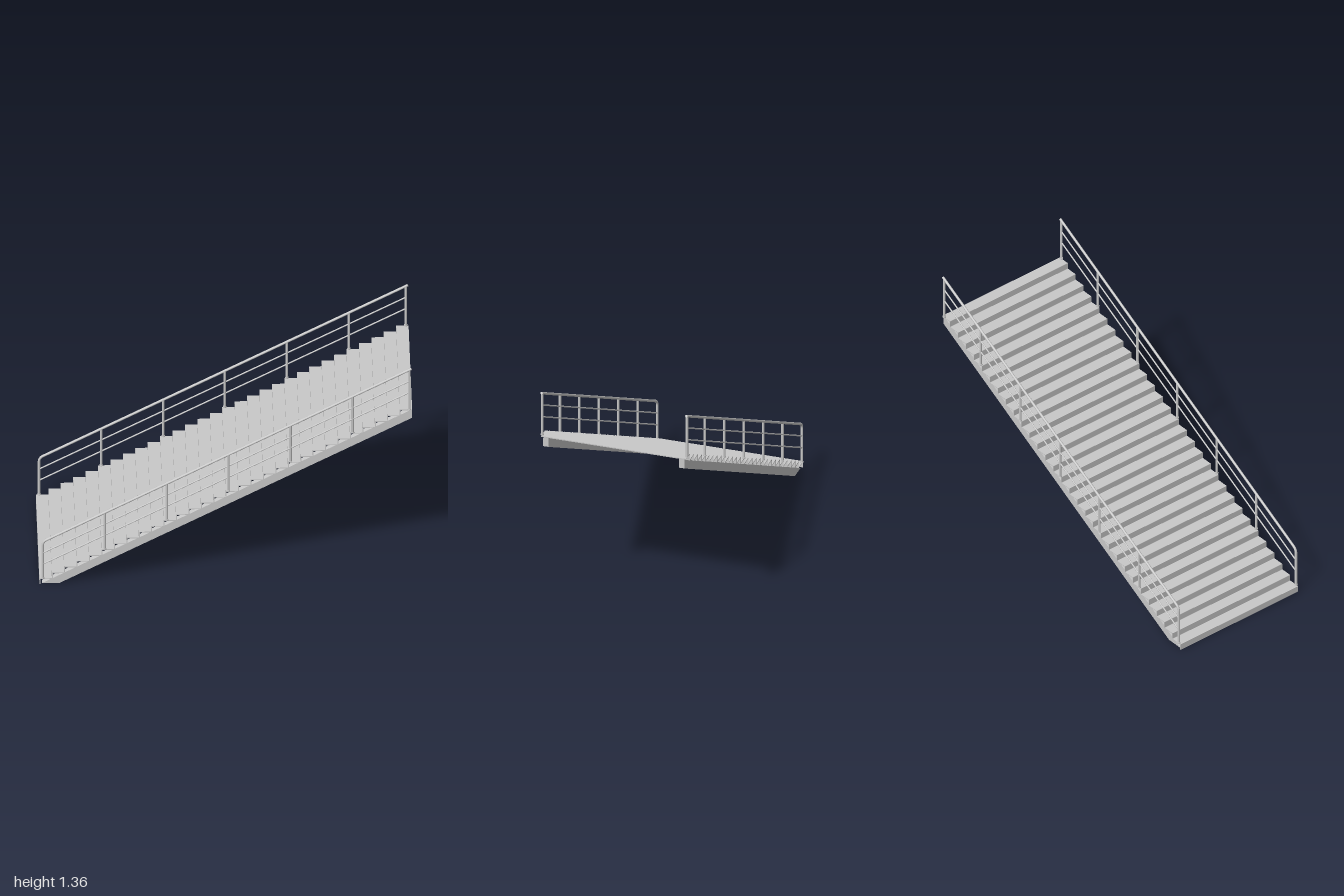
import * as THREE from 'three';

const STEPS = 30, RUN = 2 / STEPS, RISE = 1.09 / STEPS, SLOPE = RISE / RUN;
const SHEET = 0.005, HALF_WIDTH = 0.41, RAIL_Z = 0.409;

const steel = new THREE.MeshStandardMaterial({ color: 0xc9c9c9 });
steel.name = 'light grey steel';

// Height above the floor of a line parallel to the stair pitch
const pitch = (x, offset) => SLOPE * (x + 1) + offset;

function add(parent, geometry, name) {
  const mesh = new THREE.Mesh(geometry, steel);
  mesh.name = name;
  parent.add(mesh);
  return mesh;
}

// Side profile in x/y, extruded along z and centred on z
function extrudeProfile(points, depth, z) {
  const shape = new THREE.Shape(points.map(([x, y]) => new THREE.Vector2(x, y)));
  const geometry = new THREE.ExtrudeGeometry(shape, { depth, bevelEnabled: false });
  return geometry.translate(0, 0, z - depth / 2);
}

// Round bar between two points of the x/y plane
function bar(parent, a, b, radius, name) {
  const start = new THREE.Vector3(a[0], a[1], 0), end = new THREE.Vector3(b[0], b[1], 0);
  const dir = end.clone().sub(start);
  const mesh = add(parent, new THREE.CylinderGeometry(radius, radius, dir.length(), 12), name);
  mesh.position.copy(start).add(end).multiplyScalar(0.5);
  mesh.quaternion.setFromUnitVectors(new THREE.Vector3(0, 1, 0), dir.normalize());
  return mesh;
}

// Folded sheet of risers and treads, open underneath
function buildSteps(parent) {
  const upper = [], lower = [];
  for (let i = 0; i < STEPS; i++) {
    const x = -1 + i * RUN, y = i * RISE, top = y + RISE;
    upper.push([x, i ? y : 0], [x, top]);
    lower.push([x + SHEET, i ? y - SHEET : 0], [x + SHEET, top - SHEET]);
  }
  upper.push([1, STEPS * RISE]);
  lower.push([1, STEPS * RISE - SHEET]);
  add(parent, extrudeProfile([...upper, ...lower.reverse()], HALF_WIDTH * 2, 0), 'steps');
}

// Sloping beam under the steps, cut flat at the floor and upright at the top
function buildStringer(parent, side) {
  const profile = [[-0.985, 0], [-0.89, 0], [1, SLOPE * 1.89], [1, pitch(1, -0.006)]];
  add(parent, extrudeProfile(profile, 0.032, side * 0.384), 'stringer');
}

function buildRailing(side) {
  const railing = new THREE.Group();
  railing.name = side > 0 ? 'frontRailing' : 'backRailing';
  railing.position.z = side * RAIL_Z;
  const first = -0.983, last = 0.985, handrail = 0.262, r = 0.007, bend = 0.025;

  // Posts with small base collars, standing on the treads
  const posts = [first, -0.65, -0.317, 0.013, 0.347, 0.68, last];
  posts.forEach((x, i) => {
    const foot = (Math.floor((x + 1) / RUN) + 1) * RISE;
    const top = pitch(x, handrail) - (i === 0 ? bend : 0);
    bar(railing, [x, foot], [x, top], r, 'post');
    bar(railing, [x, foot], [x, foot + 0.006], 0.0095, 'postCollar');
  });

  // Handrail, bent into the lowest post
  const bendEnd = first + bend * 0.85;
  const curve = new THREE.QuadraticBezierCurve3(
    new THREE.Vector3(first, pitch(first, handrail) - bend, 0),
    new THREE.Vector3(first, pitch(first, handrail), 0),
    new THREE.Vector3(bendEnd, pitch(bendEnd, handrail), 0));
  add(railing, new THREE.TubeGeometry(curve, 8, r, 12), 'handrailBend');
  bar(railing, [bendEnd, pitch(bendEnd, handrail)], [0.996, pitch(0.996, handrail)], r, 'handrail');

  // Two thin rails below the handrail
  for (const offset of [0.19, 0.118]) {
    bar(railing, [first, pitch(first, offset)], [last, pitch(last, offset)], 0.004, 'midRail');
  }
  return railing;
}

export function createModel() {
  const staircase = new THREE.Group();
  staircase.name = 'staircase';
  buildSteps(staircase);
  for (const side of [1, -1]) {
    buildStringer(staircase, side);
    staircase.add(buildRailing(side));
  }
  return staircase;
}
